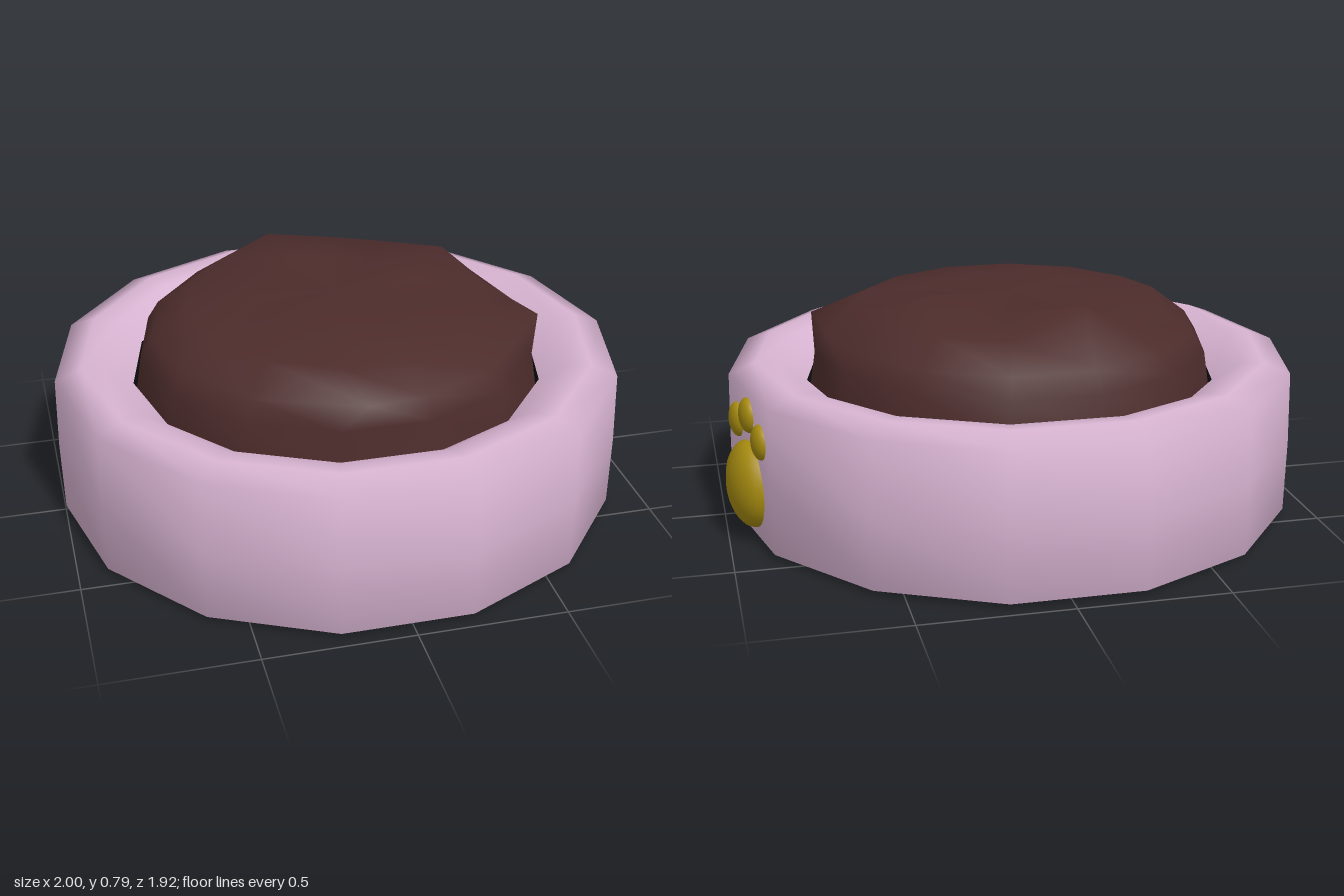
import * as THREE from 'three';
import { mergeVertices } from 'three/addons/utils/BufferGeometryUtils.js';

const SIDES = 14;
const CENTER_X = -0.018;

function lathe(profile) {
  const points = profile.map(([r, y]) => new THREE.Vector2(r, y));
  return new THREE.LatheGeometry(points, SIDES, Math.PI / 2);
}

function part(name, geometry, color, side = THREE.FrontSide) {
  const mesh = new THREE.Mesh(geometry, new THREE.MeshStandardMaterial({ color, side }));
  mesh.name = name;
  return mesh;
}

// Domed heap whose nearest vertices are pulled out to a few ragged peaks
function heapGeometry() {
  let geometry = lathe([
    [0.705, 0.44], [0.685, 0.57], [0.645, 0.635], [0.53, 0.715], [0.28, 0.745], [0, 0.745],
  ]);
  geometry.deleteAttribute('uv');
  geometry.deleteAttribute('normal');
  geometry = mergeVertices(geometry, 1e-4);
  const peaks = [
    [-0.15, 0.79, -0.43], [-0.07, 0.67, 0.70], [0.673, 0.66, 0.19],
    [0.30, 0.775, -0.12], [0.45, 0.765, -0.22], [-0.17, 0.765, 0.23], [-0.52, 0.73, 0.0],
  ].map((p) => new THREE.Vector3(...p));
  const position = geometry.attributes.position;
  const v = new THREE.Vector3();
  for (const peak of peaks) {
    let nearest = 0;
    let best = Infinity;
    for (let i = 0; i < position.count; i++) {
      const d = v.fromBufferAttribute(position, i).distanceTo(peak);
      if (d < best) { best = d; nearest = i; }
    }
    position.setXYZ(nearest, peak.x, peak.y, peak.z);
  }
  geometry.computeVertexNormals();
  return geometry;
}

// Paw emblem of flattened spheres, lying on one facet of the bowl wall
function createPaw() {
  const paw = new THREE.Group();
  paw.name = 'pawEmblem';
  const pads = [
    ['pawPad', 0, 0.19, 0.08, 0.15, 0.14],
    ['outerToeFront', 0.12, 0.38, 0.03, 0.06, 0.055],
    ['middleToe', 0, 0.43, 0.03, 0.06, 0.055],
    ['outerToeBack', -0.125, 0.375, 0.03, 0.06, 0.055],
  ];
  for (const [name, z, y, depth, height, width] of pads) {
    const pad = part(name, new THREE.SphereGeometry(1, 20, 14), 0xa58a10);
    pad.scale.set(depth, height, width);
    pad.position.set(0, y, z);
    paw.add(pad);
  }
  paw.rotation.y = Math.PI / SIDES;
  paw.position.set(0.916, 0, -0.213);
  return paw;
}

export function createModel() {
  const model = new THREE.Group();
  model.name = 'petBowl';

  const bowl = new THREE.Group();
  bowl.name = 'bowl';
  bowl.position.x = CENTER_X;

  // Outer wall with a rounded rim rolling inwards
  bowl.add(part('bowlWall', lathe([
    [0.9, 0], [0.98, 0.015], [0.985, 0.26], [0.98, 0.51], [0.89, 0.545], [0.81, 0.535], [0.715, 0.47],
  ]), 0xd8b4d2, THREE.DoubleSide));

  // Dark inside surface and underside
  bowl.add(part('liner', lathe([[0.715, 0.47], [0.7, 0.38], [0, 0.36]]), 0x0d0d0d, THREE.DoubleSide));
  bowl.add(part('underside', lathe([[0, 0], [0.9, 0]]), 0x0d0d0d, THREE.DoubleSide));

  bowl.add(part('foodHeap', heapGeometry(), 0x4c2c2b, THREE.DoubleSide));

  model.add(bowl, createPaw());
  return model;
}
